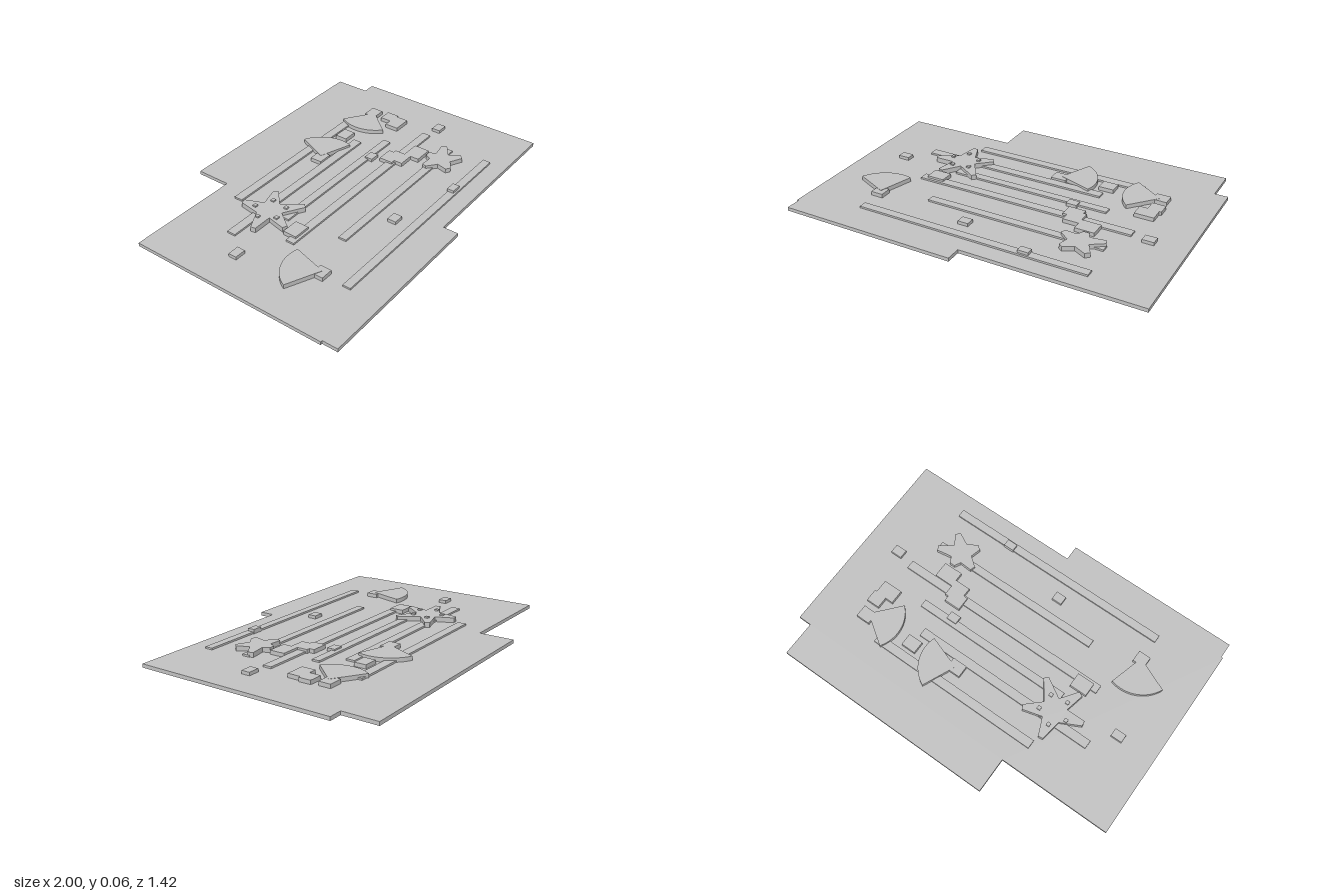
import * as THREE from 'three';

const BASE = 0.02; // top of the base plate

export function createModel() {
  const model = new THREE.Group();
  const grey = new THREE.MeshStandardMaterial({ color: 0xc0c0c0 });
  grey.name = 'plain grey';

  const add = (name, geometry) => {
    const mesh = new THREE.Mesh(geometry, grey);
    mesh.name = name;
    model.add(mesh);
    return mesh;
  };

  // Upright prism from a plan outline of [x, z] points
  const prism = (name, points, bottom, top) => {
    const shape = new THREE.Shape(points.map(([x, z]) => new THREE.Vector2(x, -z)));
    const g = new THREE.ExtrudeGeometry(shape, { depth: top - bottom, bevelEnabled: false });
    g.rotateX(-Math.PI / 2).translate(0, bottom, 0);
    return add(name, g);
  };

  // Box from plan limits
  const box = (name, x0, x1, z0, z1, top, bottom = BASE) => {
    const g = new THREE.BoxGeometry(x1 - x0, top - bottom, z1 - z0);
    g.translate((x0 + x1) / 2, (top + bottom) / 2, (z0 + z1) / 2);
    return add(name, g);
  };

  // Circular sector, angles in degrees from +x towards +z
  const fan = (name, cx, cz, r, a0, a1, top) => {
    const points = [[cx, cz]];
    for (let i = 0; i <= 16; i++) {
      const a = THREE.MathUtils.degToRad(a0 + ((a1 - a0) * i) / 16);
      points.push([cx + r * Math.cos(a), cz + r * Math.sin(a)]);
    }
    prism(name, points, BASE, top);
  };

  // Star with blunt tips; notches lie midway between neighbouring arms
  const star = (name, cx, cz, tips, inner, blunt, top) => {
    const points = [];
    tips.forEach(([x, z], i) => {
      const a = Math.atan2(z - cz, x - cx);
      const [nx, nz] = tips[(i + 1) % tips.length];
      let b = Math.atan2(nz - cz, nx - cx);
      if (b < a) b += Math.PI * 2;
      const sx = -Math.sin(a) * blunt, sz = Math.cos(a) * blunt;
      points.push([x - sx, z - sz], [x + sx, z + sz]);
      const m = (a + b) / 2;
      points.push([cx + inner * Math.cos(m), cz + inner * Math.sin(m)]);
    });
    prism(name, points, BASE, top);
  };

  // Stepped base plate
  prism('basePlate', [
    [-1, -0.515], [-0.36, -0.515], [-0.36, -0.715], [0.925, -0.715], [0.925, -0.515], [1, -0.515],
    [1, 0.625], [0.01, 0.625], [0.01, 0.71], [-0.99, 0.71], [-0.99, 0.625], [-1, 0.625],
  ], 0, BASE);

  // Long low strips
  [
    [-0.435, 0.58, -0.39, -0.34], [-0.675, 0.4, -0.22, -0.17], [-0.42, 0.5, -0.08, -0.035],
    [-0.555, 0.7, 0.06, 0.11], [-0.38, 0.635, 0.255, 0.3], [-0.655, 0.66, 0.485, 0.53],
  ].forEach((s) => box('strip', ...s, 0.03));

  // Small loose blocks
  [
    [-0.81, -0.745, -0.087, -0.04], [0.28, 0.34, -0.057, -0.01], [0.765, 0.83, 0.083, 0.133],
    [-0.12, -0.06, 0.37, 0.42], [0.28, 0.34, 0.48, 0.52],
  ].forEach((s, i) => box('smallBlock', ...s, i === 4 ? 0.045 : 0.038));

  // Larger blocks beside the fans and stars
  [
    [-0.52, -0.42, 0.015, 0.095], [0.36, 0.445, -0.32, -0.25], [0.085, 0.17, -0.29, -0.22],
    [0.665, 0.745, -0.33, -0.26], [0.68, 0.757, -0.225, -0.155], [0.635, 0.745, -0.16, -0.08],
    [-0.685, -0.615, 0.325, 0.39], [0.315, 0.41, 0.02, 0.1], [0.34, 0.43, 0.05, 0.15],
    [0.43, 0.54, 0.11, 0.2],
  ].forEach((s) => box('largeBlock', ...s, 0.042));

  // Fans
  fan('backFan', 0.133, -0.257, 0.2, -66, 19, 0.043);
  fan('rightFan', 0.7, -0.285, 0.2, 131, 214, 0.043);
  fan('leftFan', -0.645, 0.36, 0.205, 204, 286, 0.044);

  // Large star with a stud on every arm
  star('largeStar', -0.43, -0.15,
    [[-0.455, -0.31], [-0.285, -0.23], [-0.295, -0.025], [-0.495, 0.005], [-0.595, -0.12]], 0.07, 0.014, 0.048);
  [[-0.45, -0.23], [-0.36, -0.185], [-0.37, -0.09], [-0.465, -0.075], [-0.512, -0.16]]
    .forEach(([x, z]) => box('starStud', x - 0.01, x + 0.01, z - 0.01, z + 0.01, 0.056, 0.045));

  // Small star
  star('smallStar', 0.505, 0.3,
    [[0.398, 0.26], [0.505, 0.215], [0.63, 0.25], [0.59, 0.385], [0.445, 0.385]], 0.06, 0.015, 0.046);

  return model;
}
